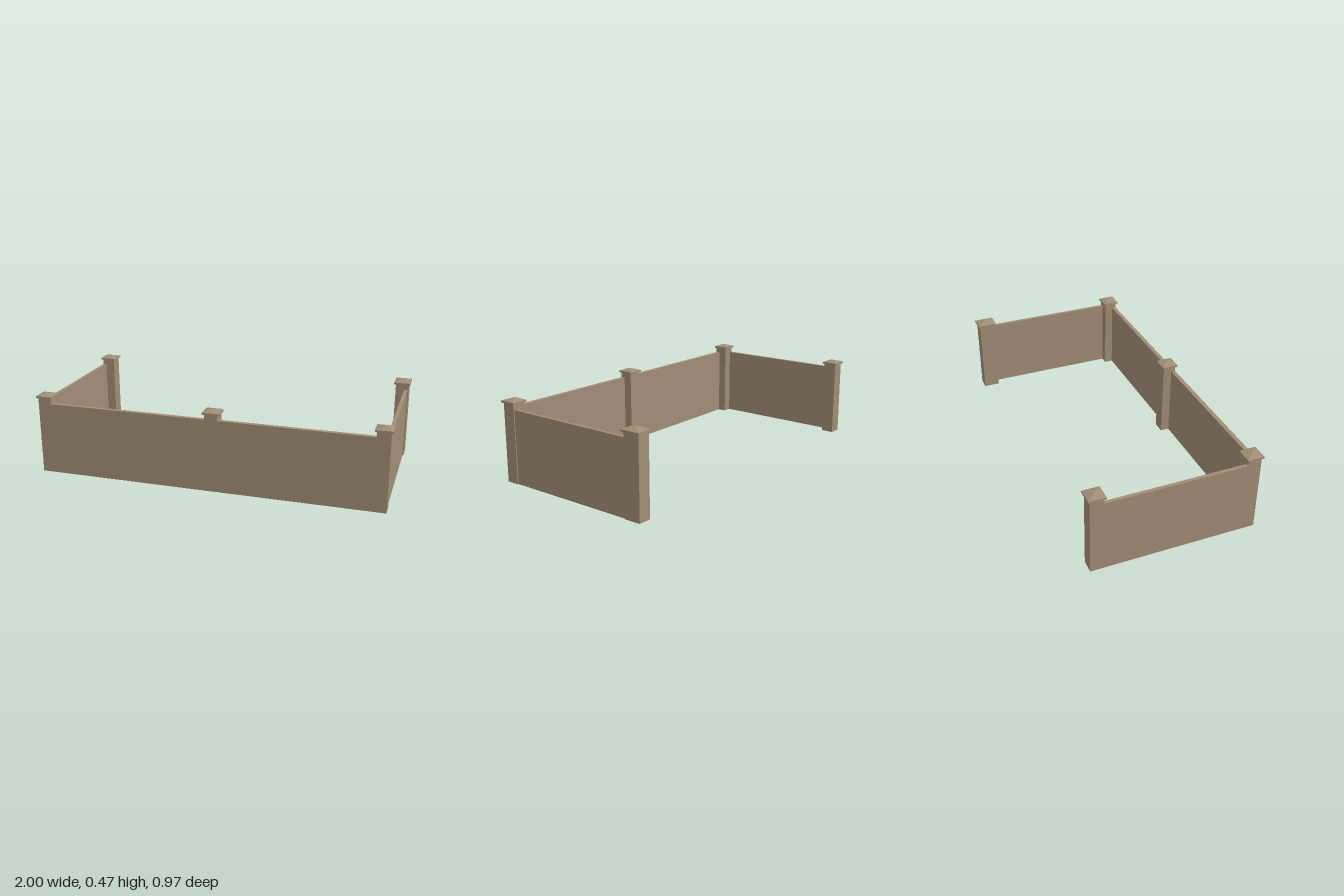
import * as THREE from 'three';

const stone = new THREE.MeshStandardMaterial({ color: 0xa08d74 });
stone.name = 'tanStone';

const POST_W = 0.075, OVERHANG = 0.0095;
const POST_H = 0.445, BAND_TOP = 0.456, PEAK = 0.47, WALL_H = 0.414;

// Box given by its extents on each axis
function block(name, x0, x1, y0, y1, z0, z1) {
  const mesh = new THREE.Mesh(new THREE.BoxGeometry(x1 - x0, y1 - y0, z1 - z0), stone);
  mesh.position.set((x0 + x1) / 2, (y0 + y1) / 2, (z0 + z1) / 2);
  mesh.name = name;
  return mesh;
}

// Square post with an overhanging slab and a low pyramid on top
function post(name, x, z, depth = POST_W) {
  const group = new THREE.Group();
  group.name = name;
  const hw = POST_W / 2, hd = depth / 2, cw = hw + OVERHANG, cd = hd + OVERHANG;
  group.add(block('shaft', -hw, hw, 0, POST_H, -hd, hd));
  group.add(block('capSlab', -cw, cw, POST_H, BAND_TOP, -cd, cd));
  const roof = new THREE.ConeGeometry(Math.SQRT2, PEAK - BAND_TOP, 4, 1, true).toNonIndexed();
  roof.rotateY(Math.PI / 4);
  roof.scale(cw, 1, cd);
  roof.computeVertexNormals();
  const peak = new THREE.Mesh(roof, stone);
  peak.name = 'capPeak';
  peak.position.y = (BAND_TOP + PEAK) / 2;
  group.add(peak);
  group.position.set(x, 0, z);
  return group;
}

export function createModel() {
  const model = new THREE.Group();
  model.name = 'boundaryWall';
  const sideX = 0.953, frontZ = 0.4375, midX = 0.034, h = POST_W / 2;

  // Posts; the back left one is deeper
  model.add(post('frontRightPost', -sideX, frontZ));
  model.add(post('frontMiddlePost', midX, frontZ));
  model.add(post('frontLeftPost', sideX, frontZ));
  model.add(post('backRightPost', -sideX, -0.422));
  model.add(post('backLeftPost', sideX, -0.427, 0.094));

  // Front panels, flush with the outer faces of the posts
  model.add(block('frontRightPanel', -sideX + h, midX - h, 0, WALL_H, 0.45, 0.4745));
  model.add(block('frontLeftPanel', midX + h, sideX - h, 0, WALL_H, 0.45, 0.4745));

  // Side panels
  model.add(block('rightPanel', -0.99, -0.97, 0, WALL_H, -0.385, frontZ - h));
  model.add(block('leftPanel', 0.965, 0.985, 0, WALL_H, -0.38, frontZ - h));
  return model;
}
